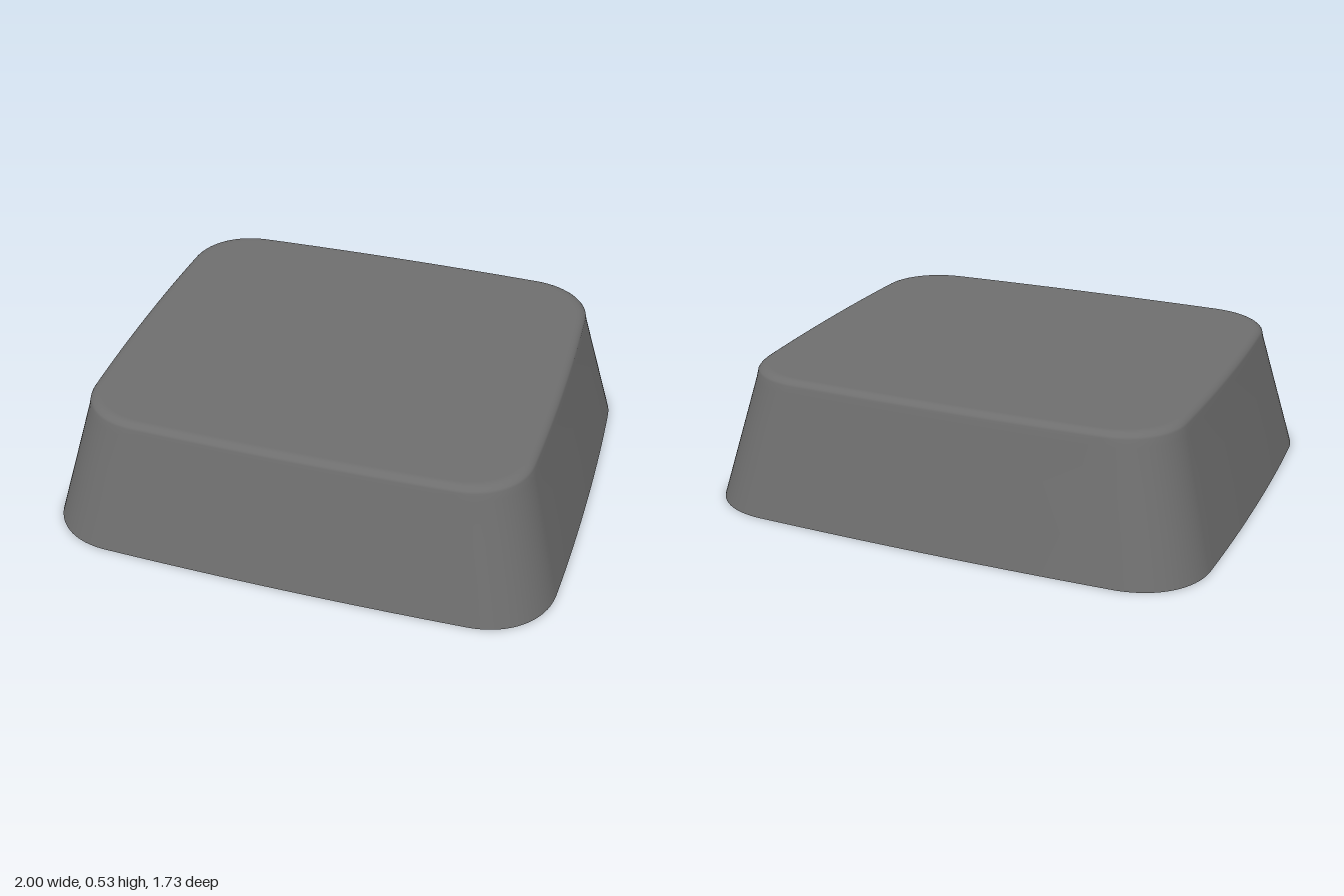
import * as THREE from 'three';

// One quarter of the gently bowed rounded-rectangle outline, from +x to +z
function quarterOutline() {
  const v = (x, z) => new THREE.Vector2(x, z);
  const path = new THREE.CurvePath();
  path.add(new THREE.QuadraticBezierCurve(v(1, 0), v(1, 0.32), v(0.985, 0.6)));
  path.add(new THREE.CubicBezierCurve(v(0.985, 0.6), v(0.973, 0.74), v(0.87, 0.842), v(0.72, 0.853)));
  path.add(new THREE.QuadraticBezierCurve(v(0.72, 0.853), v(0.35, 0.866), v(0, 0.866)));
  return path.curves.flatMap((c, k) => c.getPoints(k === 1 ? 16 : 8).slice(0, -1)).concat(v(0, 0.866));
}

// Mirror the quarter into a closed loop
function fullOutline() {
  const q = quarterOutline();
  const half = [...q, ...q.slice(0, -1).reverse().map(p => new THREE.Vector2(-p.x, p.y))];
  return [...half, ...half.slice(1, -1).reverse().map(p => new THREE.Vector2(p.x, -p.y))];
}

// Wall and rounded rim heights, with half width and half depth at each
function profileRings() {
  const rings = [[0, 1, 0.866], [0.16, 0.957, 0.829], [0.33, 0.911, 0.79], [0.48, 0.871, 0.755]];
  for (let i = 1; i <= 6; i++) {
    const a = 0.26 + (i / 6) * (Math.PI / 2 - 0.26);
    const inset = 0.04 * (1 - Math.cos(a));
    rings.push([0.49 + 0.04 * Math.sin(a), 0.87 - inset, 0.754 - inset]);
  }
  rings.push([0.53, 0.82, 0.704], [0.53, 0.4, 0.346]);
  return rings;
}

function shellGeometry() {
  const outline = fullOutline(), rings = profileRings(), n = outline.length;
  const positions = [], index = [];
  for (const [y, w, d] of rings)
    for (const p of outline) positions.push(p.x * w, y, p.y * d / 0.866);
  positions.push(0, 0.53, 0);
  const centre = rings.length * n;
  for (let i = 0; i < n; i++) {
    const j = (i + 1) % n;
    for (let r = 0; r < rings.length - 1; r++) {
      const a = r * n, b = a + n;
      index.push(a + i, b + i, a + j, a + j, b + i, b + j);
    }
    index.push(centre, centre - n + j, centre - n + i);
  }
  const geometry = new THREE.BufferGeometry();
  geometry.setAttribute('position', new THREE.Float32BufferAttribute(positions, 3));
  geometry.setIndex(index);
  geometry.computeVertexNormals();
  return geometry;
}

export function createModel() {
  const group = new THREE.Group();
  group.name = 'taperedCap';
  const grey = new THREE.MeshStandardMaterial({ color: 0x6e6e6e, side: THREE.DoubleSide });
  grey.name = 'grey';
  // Hollow cap, open underneath
  const shell = new THREE.Mesh(shellGeometry(), grey);
  shell.name = 'capShell';
  group.add(shell);
  return group;
}
